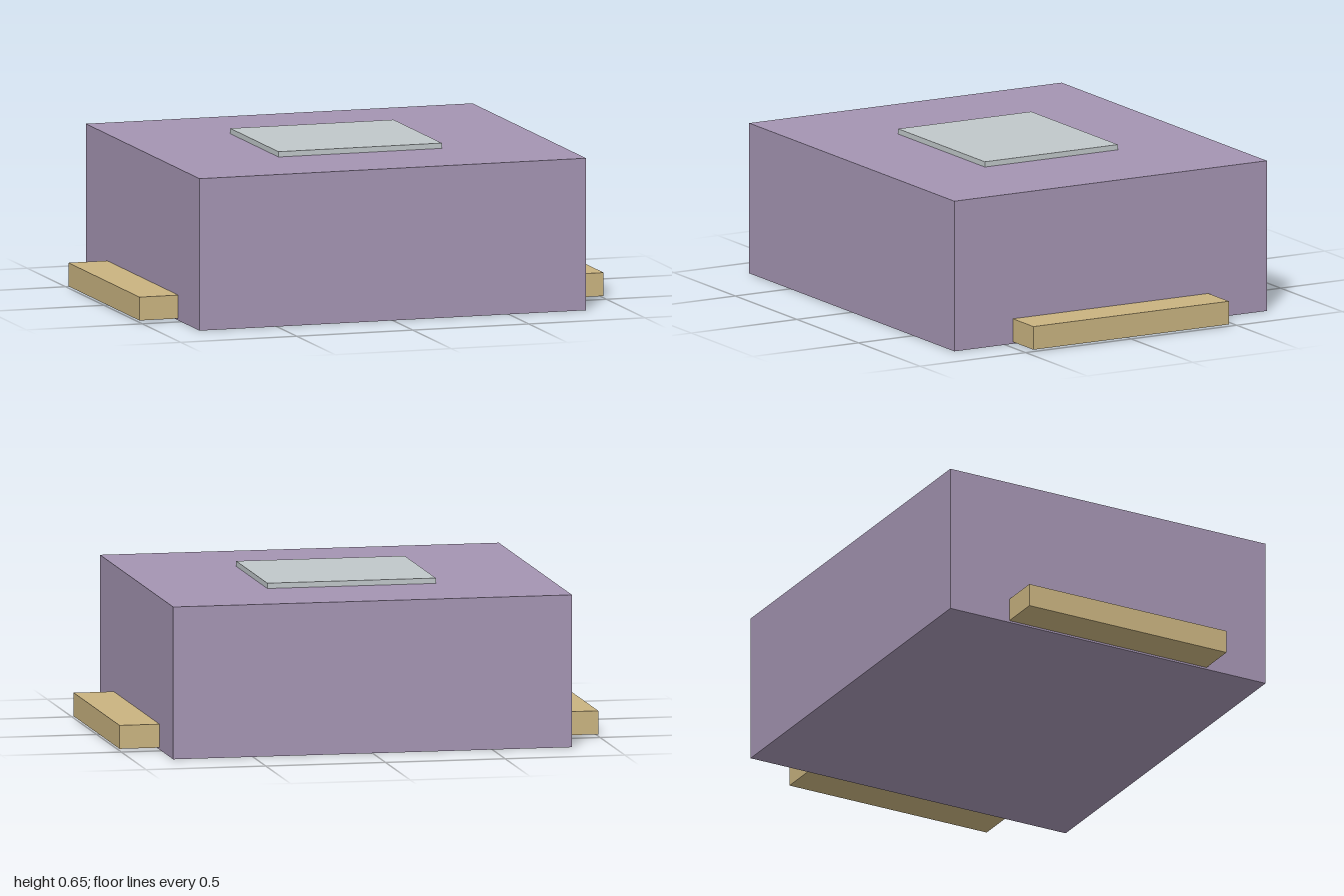
import * as THREE from 'three';

export function createModel() {
  const model = new THREE.Group();
  const material = (name, color) => {
    const m = new THREE.MeshStandardMaterial({ color });
    m.name = name;
    return m;
  };
  const purple = material('mutedPurple', 0xa494b2);
  const tan = material('tan', 0xc9b380);
  const grey = material('paleGrey', 0xc0c7c9);

  // Box centred on z = 0, resting at the given bottom height
  const addBox = (name, mat, width, height, depth, x, bottom) => {
    const mesh = new THREE.Mesh(new THREE.BoxGeometry(width, height, depth), mat);
    mesh.name = name;
    mesh.position.set(x, bottom + height / 2, 0);
    model.add(mesh);
  };

  // Main block and the thin plate on its top
  addBox('body', purple, 1.666, 0.63, 1.48, 0, 0);
  addBox('topPlate', grey, 0.704, 0.022, 0.63, 0, 0.63);

  // Low ledge along each side
  for (const [name, side] of [['leftLedge', 1], ['rightLedge', -1]]) {
    addBox(name, tan, 0.167, 0.097, 0.926, side * 0.9165, 0.008);
  }
  return model;
}
